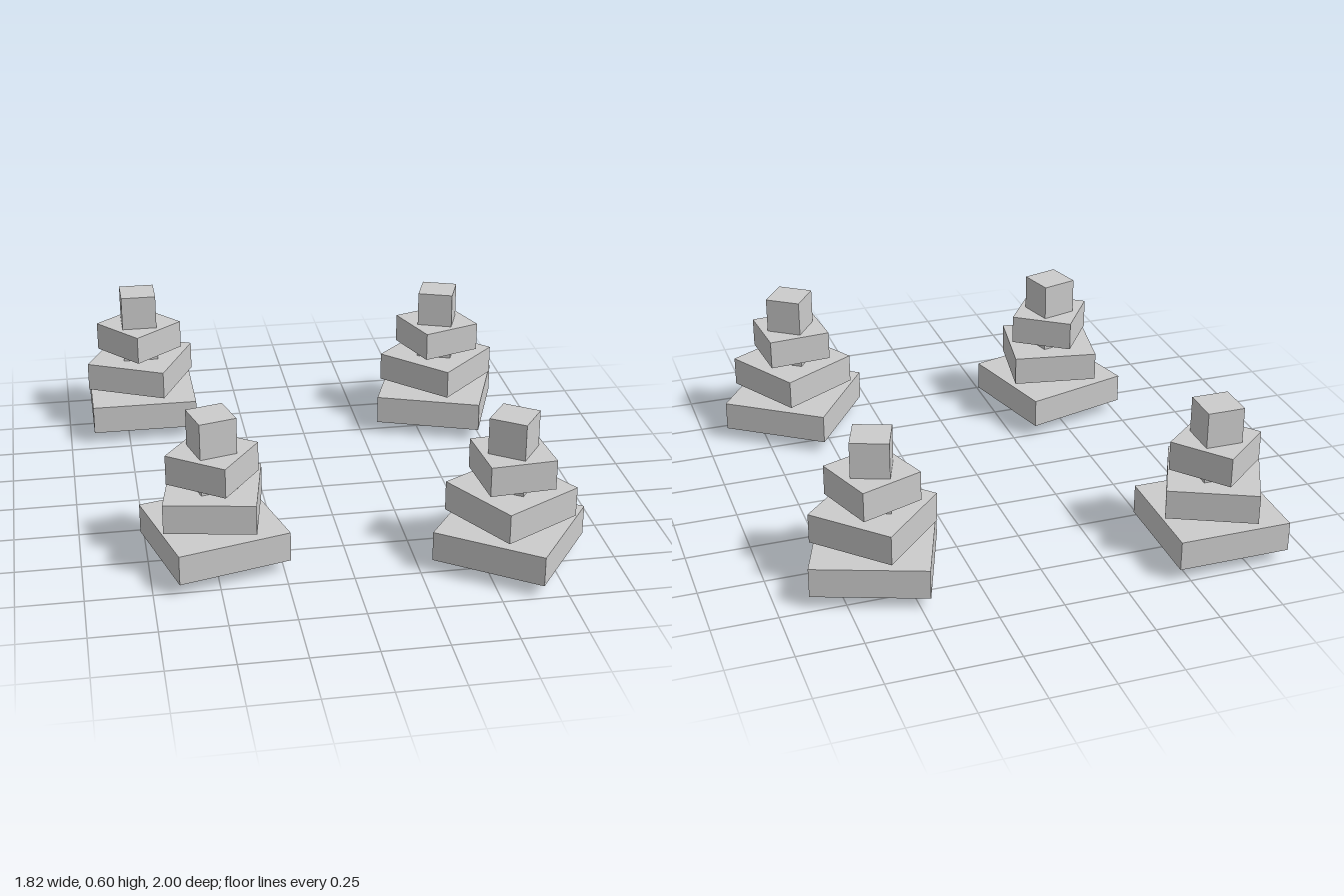
import * as THREE from 'three';

// Position on the ground and turn of each tree (degrees, clockwise seen from above)
const TREES = [
  { x: -0.68, z: -0.77, turn: 0 },
  { x: 0.6, z: -0.595, turn: 20 },
  { x: -0.497, z: 0.506, turn: -15 },
  { x: 0.6, z: 0.69, turn: 35 },
];

const TRUNK = { width: 0.145, height: 0.6 };
const TIER_HEIGHT = 0.117;
const TIER_WIDTHS = [0.44, 0.345, 0.253];
const TIER_TWIST = 25.2; // each tier turns further than the one below

export function createModel() {
  const model = new THREE.Group();
  model.name = 'treeGrove';

  const grey = new THREE.MeshStandardMaterial({ color: 0xcccccc });
  grey.name = 'light grey';

  const addBox = (parent, name, width, height, y, turn = 0) => {
    const mesh = new THREE.Mesh(new THREE.BoxGeometry(width, height, width), grey);
    mesh.name = name;
    mesh.position.y = y;
    mesh.rotation.y = -THREE.MathUtils.degToRad(turn);
    parent.add(mesh);
  };

  for (const { x, z, turn } of TREES) {
    const tree = new THREE.Group();
    tree.name = 'tree';

    // Square trunk running through the whole tree
    addBox(tree, 'trunk', TRUNK.width, TRUNK.height, TRUNK.height / 2);

    // Twisted foliage slabs, shrinking upwards
    TIER_WIDTHS.forEach((width, i) => {
      addBox(tree, 'foliageTier', width, TIER_HEIGHT, 0.107 + i * 0.146, i * TIER_TWIST);
    });

    tree.position.set(x, 0, z);
    tree.rotation.y = -THREE.MathUtils.degToRad(turn);
    model.add(tree);
  }
  return model;
}
